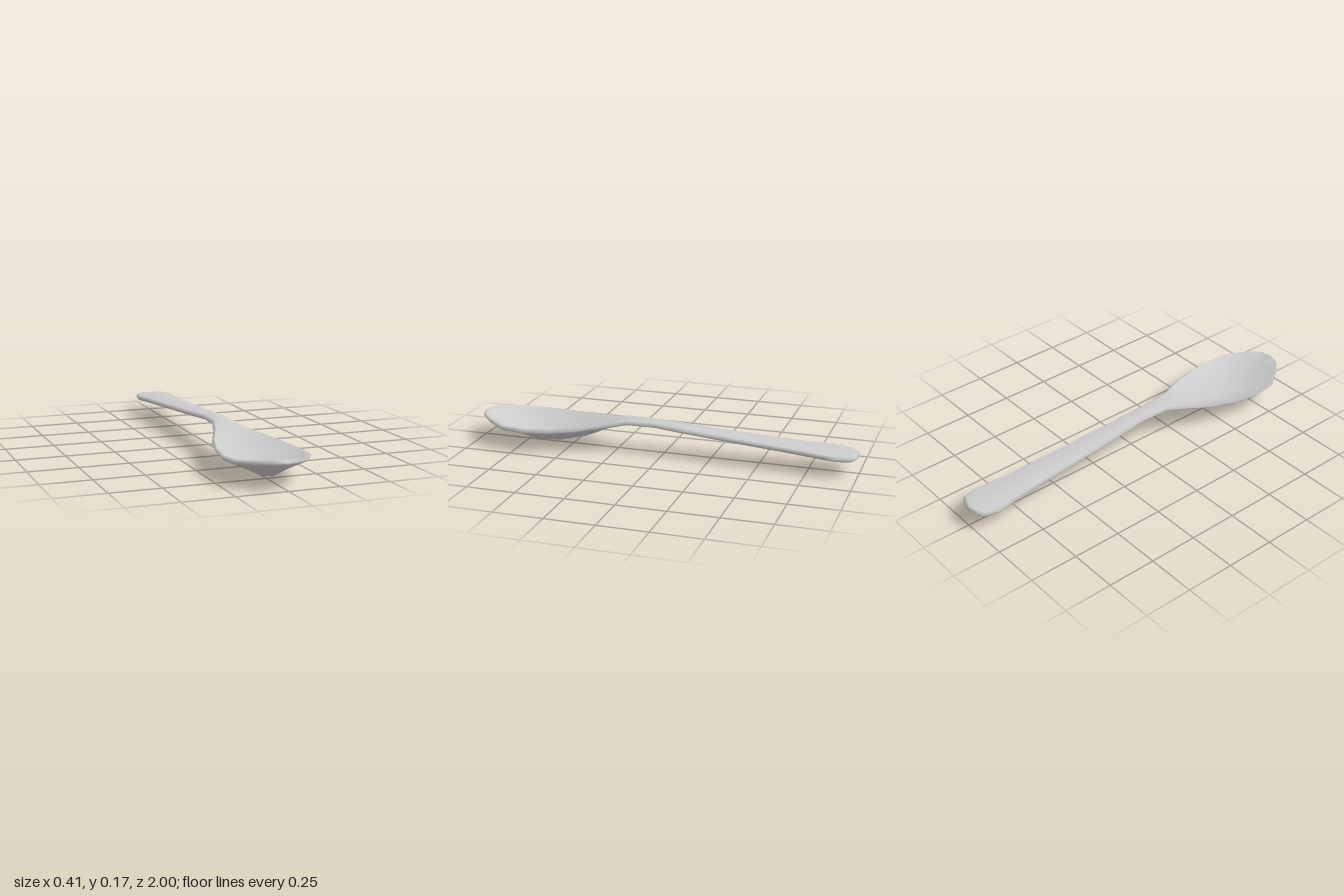
import * as THREE from 'three';
import { mergeVertices } from 'three/addons/utils/BufferGeometryUtils.js';

// Cross-sections from handle end to bowl tip: z, half width, rim top y, keel bottom y
const SECTIONS = [
  [-1.0, 0, 0.105, 0.08],
  [-0.987, 0.055, 0.106, 0.081],
  [-0.96, 0.09, 0.107, 0.082],
  [-0.89, 0.107, 0.11, 0.085],
  [-0.84, 0.104, 0.112, 0.087],
  [-0.71, 0.087, 0.118, 0.093],
  [-0.2, 0.062, 0.151, 0.126],
  [0.05, 0.05, 0.17, 0.145],
  [0.19, 0.055, 0.17, 0.145],
  [0.29, 0.085, 0.151, 0.11],
  [0.43, 0.145, 0.133, 0.048],
  [0.57, 0.185, 0.122, 0.013],
  [0.7, 0.203, 0.119, 0.003],
  [0.825, 0.191, 0.124, 0.03],
  [0.93, 0.12, 0.135, 0.081],
  [0.98, 0.065, 0.142, 0.108],
  [1.0, 0, 0.145, 0.12],
];
const THICK = 0.025;

function spoonGeometry() {
  const pos = [], index = [], last = SECTIONS.length - 1, N = 8;
  SECTIONS.forEach(([z, w, rim, keel], i) => {
    // Outward direction of the outline, used to inset the rounded rim
    const a = SECTIONS[Math.max(i - 1, 0)], b = SECTIONS[Math.min(i + 1, last)];
    const n = new THREE.Vector2(b[0] - a[0], a[1] - b[1]).normalize();
    if (i === 0) n.set(0, -1);
    if (i === last) n.set(0, 1);
    const inset = (d) => [w - n.x * d, z - n.y * d];
    const [tx, tz] = inset(0.014), [bx, bz] = inset(0.01);
    const end = i === 0 || i === last;
    pos.push(
      0, keel + THICK, end ? tz : z,
      tx, rim, tz,
      w, rim - THICK * 0.5, z,
      bx, rim - THICK, bz,
      0, keel, end ? bz : z,
      -bx, rim - THICK, bz,
      -w, rim - THICK * 0.5, z,
      -tx, rim, tz,
    );
    if (i === last) return;
    for (let j = 0; j < N; j++) {
      const p = i * N + j, q = i * N + (j + 1) % N;
      // Mirror the diagonal so both halves match
      if (j < N / 2) index.push(p, p + N, q + N, p, q + N, q);
      else index.push(p, p + N, q, p + N, q + N, q);
    }
  });
  let geo = new THREE.BufferGeometry();
  geo.setAttribute('position', new THREE.Float32BufferAttribute(pos, 3));
  geo.setIndex(index);
  geo = mergeVertices(geo, 1e-4);
  geo.computeVertexNormals();
  return geo;
}

export function createModel() {
  const group = new THREE.Group();
  group.name = 'spoon';
  // Handle, neck and bowl are one continuous skin
  const body = new THREE.Mesh(
    spoonGeometry(),
    new THREE.MeshStandardMaterial({ color: 0xcccccc, side: THREE.DoubleSide }),
  );
  body.name = 'handleAndBowl';
  group.add(body);
  return group;
}
